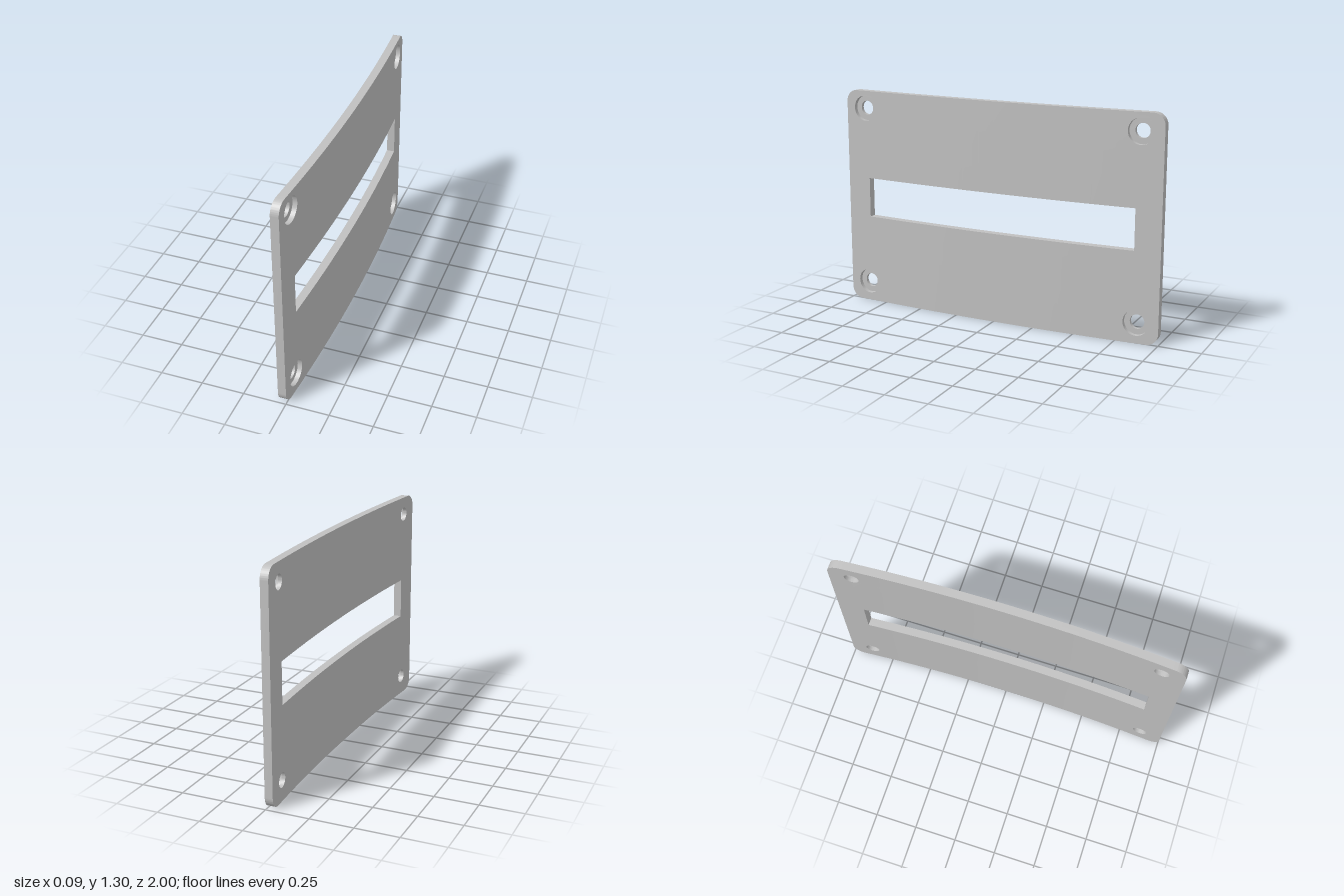
import * as THREE from 'three';
import { mergeGeometries, toCreasedNormals } from 'three/addons/utils/BufferGeometryUtils.js';

const HEIGHT = 1.305, CORNER = 0.07;
const BACK = 0.021, FRONT = 0.026; // layer depths behind and around the counterbores
const INNER_X = -0.005, SAG = 0.039; // concave face at the middle, drop at the ends
const SLICES = 20;
const HOLES = [[-0.87, 0.12], [0.87, 0.12], [-0.87, 1.2], [0.87, 1.2]];

const circle = (P, x, y, r) => {
  const p = new P();
  p.absarc(x, y, r, 0, Math.PI * 2, false);
  return p;
};

// Rounded rectangle with a long slot and four screw holes
function plateShape(holeRadius) {
  const s = new THREE.Shape(), r = CORNER, h = HEIGHT, q = Math.PI / 2;
  s.absarc(1 - r, r, r, -q, 0);
  s.absarc(1 - r, h - r, r, 0, q);
  s.absarc(-1 + r, h - r, r, q, 2 * q);
  s.absarc(-1 + r, r, r, 2 * q, 3 * q);
  s.closePath();
  const slot = [[-0.85, 0.535], [-0.85, 0.775], [0.85, 0.775], [0.85, 0.535]];
  s.holes.push(new THREE.Path(slot.map(([x, y]) => new THREE.Vector2(x, y))));
  for (const [x, y] of HOLES) s.holes.push(circle(THREE.Path, x, y, holeRadius));
  return s;
}

// Keep the part of a polygon on one side of the plane x = c
function clip(poly, c, sign) {
  const out = [];
  poly.forEach((a, i) => {
    const b = poly[(i + 1) % poly.length];
    const da = (a.x - c) * sign, db = (b.x - c) * sign;
    if (da >= 0) out.push(a);
    if ((da > 0 && db < 0) || (da < 0 && db > 0)) out.push(a.clone().lerp(b, da / (da - db)));
  });
  return out;
}

// Slice a flat solid into narrow strips so it can bend, leaving out the cap at depth skip
function slice(geometry, skip) {
  const g = geometry.index ? geometry.toNonIndexed() : geometry;
  const p = g.attributes.position, out = [];
  for (let i = 0; i < p.count; i += 3) {
    const tri = [0, 1, 2].map((k) => new THREE.Vector3().fromBufferAttribute(p, i + k));
    if (tri.every((v) => Math.abs(v.z - skip) < 1e-5)) continue;
    for (let k = 0; k < SLICES; k++) {
      const lo = -1 + (2 * k) / SLICES, hi = -1 + (2 * (k + 1)) / SLICES;
      // outermost strips stay open-ended to keep the rim; vertical walls go to one strip only
      let poly = tri;
      if (tri.every((v) => Math.abs(v.x - tri[0].x) < 1e-6)) {
        const home = Math.min(SLICES - 1, Math.max(0, Math.floor(((tri[0].x + 1) * SLICES) / 2)));
        if (home !== k) continue;
      } else {
        if (k > 0) poly = clip(poly, lo, 1);
        if (k < SLICES - 1) poly = clip(poly, hi, -1);
      }
      for (let j = 1; j + 1 < poly.length; j++) {
        const [a, b, c] = [poly[0], poly[j], poly[j + 1]];
        const area = b.clone().sub(a).cross(c.clone().sub(a)).length();
        if (area > 1e-9) for (const v of [a, b, c]) out.push(v.x, v.y, v.z);
      }
    }
  }
  const res = new THREE.BufferGeometry();
  res.setAttribute('position', new THREE.Float32BufferAttribute(out, 3));
  return res;
}

const extrude = (shape, depth) =>
  new THREE.ExtrudeGeometry(shape, { depth, bevelEnabled: false, curveSegments: 16 });

export function createModel() {
  const group = new THREE.Group();
  group.name = 'curvedFacePlate';
  const grey = new THREE.MeshStandardMaterial({ color: 0xc0c0c0 });
  grey.name = 'light grey';

  // Back layer with through holes, front layer with wide counterbores
  const parts = [
    slice(extrude(plateShape(0.042), BACK), BACK),
    slice(extrude(plateShape(0.075), FRONT), 0).translate(0, 0, BACK),
  ];
  // Ring-shaped counterbore floors
  for (const [x, y] of HOLES) {
    const ring = circle(THREE.Shape, x, y, 0.075);
    ring.holes.push(circle(THREE.Path, x, y, 0.042));
    parts.push(slice(new THREE.ShapeGeometry(ring, 16), -1).translate(0, 0, BACK));
  }

  // Stand the plate facing +x and bow its middle outwards
  const merged = mergeGeometries(parts).rotateY(Math.PI / 2);
  const p = merged.attributes.position;
  for (let i = 0; i < p.count; i++) {
    p.setX(i, p.getX(i) + INNER_X - SAG * p.getZ(i) ** 2);
  }
  const plate = new THREE.Mesh(toCreasedNormals(merged, 0.5), grey);
  plate.name = 'plate';
  group.add(plate);
  return group;
}
